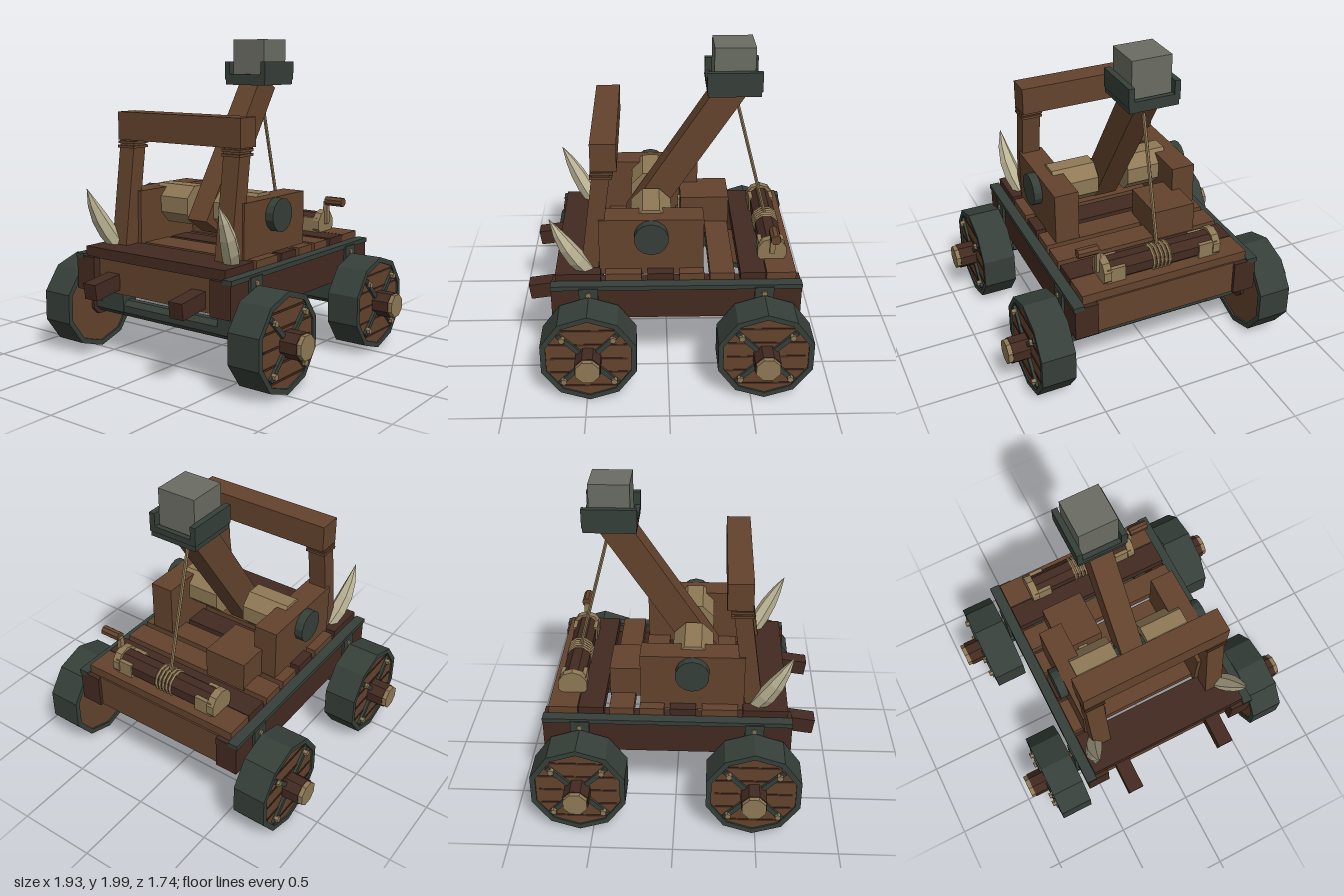
import * as THREE from 'three';

const mat = (name, color) => {
  const m = new THREE.MeshStandardMaterial({ color });
  m.name = name;
  m.flatShading = true;
  return m;
};

export function createModel() {
  const wood = mat('wood', 0x63432d);
  const darkWood = mat('dark wood', 0x432a21);
  const iron = mat('dark green iron', 0x363f39);
  const tan = mat('tan rope', 0x8f7956);
  const bone = mat('bone', 0xbdb597);
  const stone = mat('stone', 0x6a6d63);

  const root = new THREE.Group();
  root.name = 'catapult';

  const add = (parent, name, geo, material, x = 0, y = 0, z = 0) => {
    const m = new THREE.Mesh(geo, material);
    m.name = name;
    m.position.set(x, y, z);
    parent.add(m);
    return m;
  };
  // box given by its limits
  const box = (parent, name, material, x0, x1, y0, y1, z0, z1) =>
    add(parent, name, new THREE.BoxGeometry(x1 - x0, y1 - y0, z1 - z0), material,
      (x0 + x1) / 2, (y0 + y1) / 2, (z0 + z1) / 2);
  // cylinder along x, resting on a flat side
  const rod = (parent, name, material, x0, x1, r, y, z, sides = 8) => {
    const g = new THREE.CylinderGeometry(r, r, x1 - x0, sides);
    g.rotateY(Math.PI / sides).rotateZ(Math.PI / 2);
    return add(parent, name, g, material, (x0 + x1) / 2, y, z);
  };
  // square beam between two points in the yz plane
  const beam = (parent, name, material, x, w, d, y0, z0, y1, z1) => {
    const m = add(parent, name, new THREE.BoxGeometry(w, Math.hypot(y1 - y0, z1 - z0), d),
      material, x, (y0 + y1) / 2, (z0 + z1) / 2);
    m.rotation.x = Math.atan2(z1 - z0, y1 - y0);
    return m;
  };

  // wheel, facing +x, centred on the axle
  const decagon = (r) => Array.from({ length: 10 }, (_, i) => {
    const a = Math.PI / 2 + i * Math.PI / 5;
    return new THREE.Vector2(r * Math.cos(a), r * Math.sin(a));
  });
  const prism = (r, hole, depth) => {
    const s = new THREE.Shape(decagon(r));
    if (hole) s.holes.push(new THREE.Path(decagon(hole).reverse()));
    return new THREE.ExtrudeGeometry(s, { depth, bevelEnabled: false }).rotateY(Math.PI / 2);
  };
  const makeWheel = () => {
    const w = new THREE.Group();
    w.name = 'wheel';
    add(w, 'wheelRim', prism(0.302, 0.268, 0.212), iron, 0.628);
    add(w, 'wheelDisc', prism(0.27, 0, 0.19), wood, 0.64);
    for (let i = -2; i <= 2; i++) {
      const h = Math.abs(i) === 2 ? 0.19 : 0.235;
      box(w, 'plankSeam', darkWood, 0.828, 0.834, i * 0.1 - 0.006, i * 0.1 + 0.006, -h, h);
    }
    for (let i = 0; i < 4; i++) {
      const a = Math.PI / 4 + i * Math.PI / 2;
      const c = Math.cos(a), s = Math.sin(a);
      const strap = add(w, 'wheelStrap', new THREE.BoxGeometry(0.02, 0.2, 0.03), iron, 0.838, 0.15 * c, 0.15 * s);
      strap.rotation.x = a;
      rod(w, 'wheelBolt', tan, 0.84, 0.865, 0.02, 0.215 * c, 0.215 * s, 6);
    }
    rod(w, 'hub', darkWood, 0.618, 0.94, 0.083, 0, 0);
    rod(w, 'hubCap', tan, 0.935, 0.967, 0.077, 0, 0);
    return w;
  };

  // running gear
  for (const z of [0.482, -0.582]) {
    rod(root, 'axle', iron, -0.66, 0.66, 0.057, 0.307, z);
    for (const s of [1, -1]) {
      const w = makeWheel();
      w.position.set(0, 0.308, z);
      w.rotation.y = s > 0 ? 0 : Math.PI;
      root.add(w);
      const x = s * 0.468;
      box(root, 'axleBracket', iron, x - 0.092, x + 0.092, 0.285, 0.6, z - 0.058, z + 0.058);
      box(root, 'railStrap', iron, s * 0.608 - 0.012, s * 0.608 + 0.012, 0.4, 0.66, z - 0.058, z + 0.058);
      rod(root, 'strapBolt', tan, s * 0.622 - 0.008, s * 0.622 + 0.008, 0.018, 0.62, z, 6);
    }
  }

  // chassis
  box(root, 'frontCrossbeam', wood, -0.46, 0.46, 0.445, 0.665, 0.55, 0.66);
  box(root, 'rearCrossbeam', wood, -0.46, 0.46, 0.445, 0.665, -0.79, -0.68);
  for (const s of [1, -1]) {
    box(root, 'sideRail', darkWood, s * 0.53 - 0.073, s * 0.53 + 0.073, 0.445, 0.66, -0.81, 0.71);
    box(root, 'railTrim', iron, s * 0.578 - 0.033, s * 0.578 + 0.033, 0.645, 0.674, -0.812, 0.712);
    beam(root, 'frontProng', darkWood, s * 0.337, 0.1, 0.1, 0.55, 0.45, 0.492, 0.865);
  }

  // deck planks: z start, z end, material
  const planks = [
    [0.41, 0.685, darkWood], [0.16, 0.38, wood], [-0.035, 0.125, darkWood], [-0.22, -0.07, wood],
    [-0.405, -0.255, wood], [-0.595, -0.44, darkWood], [-0.78, -0.6, wood],
  ];
  for (const [z0, z1, m] of planks) box(root, 'deckPlank', m, -0.545, 0.545, 0.655, 0.72, z0, z1);

  // side blocks, torsion bundles and uprights
  for (const s of [1, -1]) {
    const x = s * 0.403;
    box(root, 'sideBlock', wood, x - 0.078, x + 0.078, 0.68, 1.055, -0.217, 0.417);
    rod(root, 'torsionBundle', tan, s * 0.25 - 0.145, s * 0.25 + 0.145, 0.135, 0.95, 0.1);
    rod(root, 'pivotCap', iron, s * 0.505 - 0.03, s * 0.505 + 0.03, 0.104, 0.95, 0.1, 14);
    beam(root, 'upright', wood, s * 0.41, 0.118, 0.105, 0.7, 0.48, 1.42, 0.382);
    for (const t of [0, 1]) {
      const y = 1.325 + t * 0.027;
      box(root, 'uprightBinding', wood, s * 0.41 - 0.067, s * 0.41 + 0.067, y, y + 0.016,
        0.325 - t * 0.004, 0.459 - t * 0.004);
    }
  }
  box(root, 'topCrossbeam', wood, -0.477, 0.477, 1.375, 1.55, 0.298, 0.452);
  rod(root, 'pivotAxle', iron, -0.12, 0.12, 0.06, 0.95, 0.1);

  // throwing arm, basket and stone
  beam(root, 'throwingArm', wood, 0, 0.152, 0.18, 0.83, 0.183, 1.73, -0.405);
  box(root, 'basketFloor', iron, -0.155, 0.155, 1.705, 1.745, -0.567, -0.245);
  for (const s of [1, -1]) {
    box(root, 'basketSide', iron, s * 0.142 - 0.018, s * 0.142 + 0.018, 1.738, 1.857, -0.572, -0.24);
    const z = -0.406 + s * 0.15;
    box(root, 'basketLip', iron, -0.125, 0.125, 1.738, 1.775, z - 0.016, z + 0.016);
  }
  box(root, 'stoneBlock', stone, -0.124, 0.124, 1.745, 2, -0.528, -0.282);

  // winch with crank
  rod(root, 'winchDrum', darkWood, -0.345, 0.345, 0.078, 0.77, -0.648);
  for (const s of [1, -1]) {
    rod(root, 'winchEnd', tan, s * 0.362 - 0.024, s * 0.362 + 0.024, 0.094, 0.77, -0.648, 10);
    box(root, 'winchCradle', tan, s * 0.305 - 0.06, s * 0.305 + 0.06, 0.71, 0.815, -0.73, -0.566);
  }
  for (let i = -2; i <= 2; i++) {
    const coil = add(root, 'ropeCoil', new THREE.TorusGeometry(0.076, 0.011, 5, 10), tan, i * 0.026, 0.77, -0.648);
    coil.rotation.y = Math.PI / 2;
  }
  box(root, 'crankArm', tan, 0.375, 0.405, 0.77, 0.925, -0.664, -0.632);
  rod(root, 'crankHandle', wood, 0.39, 0.52, 0.031, 0.927, -0.648);
  const rope = new THREE.LineCurve3(new THREE.Vector3(0, 1.66, -0.425), new THREE.Vector3(0, 0.82, -0.645));
  add(root, 'pullRope', new THREE.TubeGeometry(rope, 1, 0.012, 6), tan);

  // supply chest with clasp
  box(root, 'chest', wood, -0.38, -0.1, 0.7, 0.9, -0.412, -0.095);
  box(root, 'chestClasp', tan, -0.275, -0.21, 0.765, 0.83, -0.1, -0.08);

  // curved horns: a tube that swells above the base and shrinks to the tip
  for (const s of [1, -1]) {
    const curve = new THREE.QuadraticBezierCurve3(
      new THREE.Vector3(s * 0.455, 0.71, 0.5),
      new THREE.Vector3(s * 0.525, 0.88, 0.61),
      new THREE.Vector3(s * 0.512, 1.085, 0.703));
    const rings = 4, sides = 6;
    const g = new THREE.TubeGeometry(curve, rings, 0.064, sides);
    const p = g.attributes.position, v = new THREE.Vector3();
    for (let i = 0; i < p.count; i++) {
      const t = Math.floor(i / (sides + 1)) / rings;
      const c = curve.getPointAt(t);
      v.fromBufferAttribute(p, i).sub(c).multiplyScalar(Math.max(0.02, (1 - t) * (0.8 + 1.6 * t))).add(c);
      p.setXYZ(i, v.x, v.y, v.z);
    }
    g.computeVertexNormals();
    add(root, 'horn', g, bone);
  }

  return root;
}
